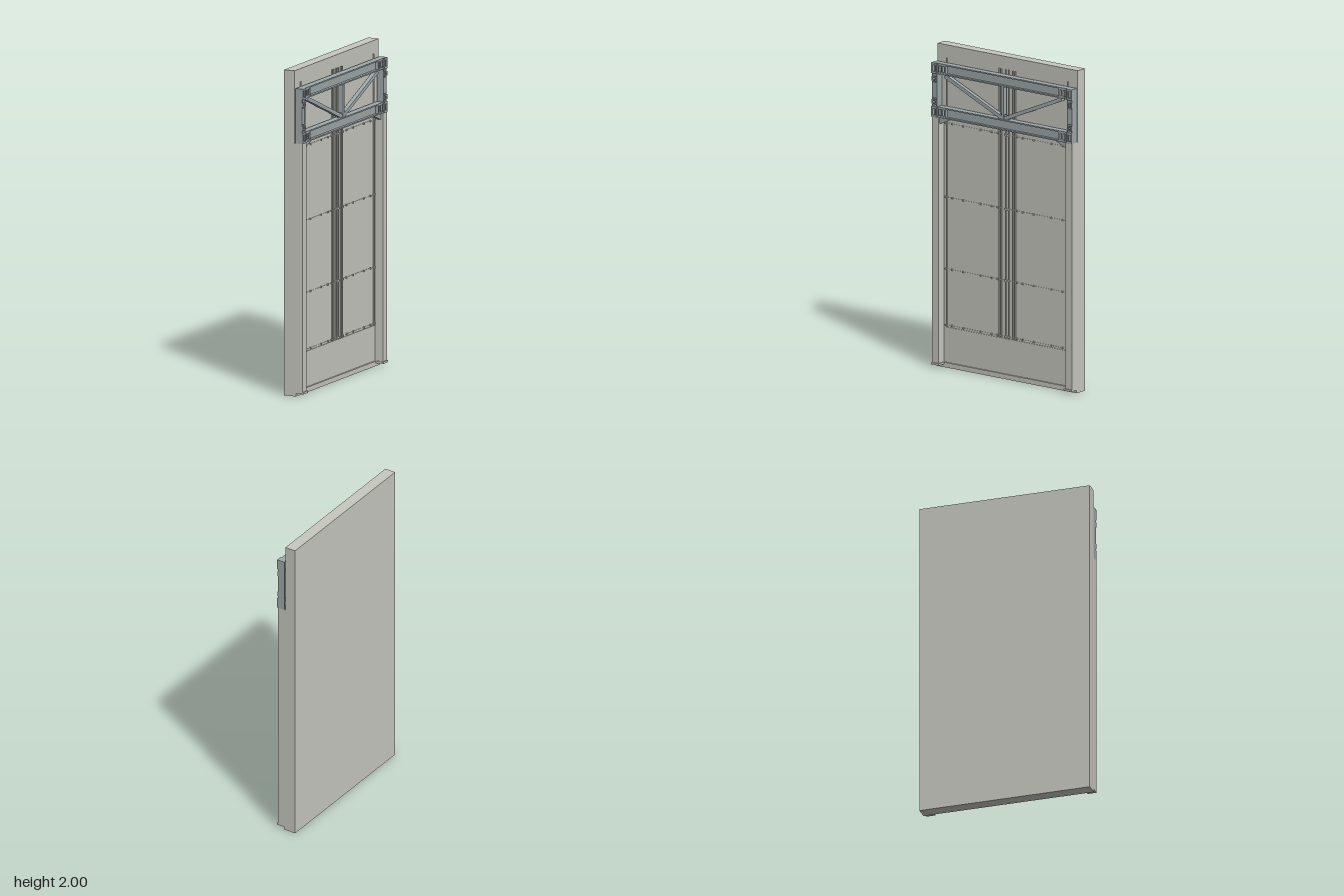
import * as THREE from 'three';

export function createModel() {
  const model = new THREE.Group();
  const concrete = new THREE.MeshStandardMaterial({ color: 0xc6c7be });
  const steel = new THREE.MeshStandardMaterial({ color: 0x9fa8aa });

  // Box given by its minimum and maximum on each axis
  function box(name, x0, x1, y0, y1, z0, z1, mat = concrete, parent = model) {
    const m = new THREE.Mesh(new THREE.BoxGeometry(x1 - x0, y1 - y0, z1 - z0), mat);
    m.position.set((x0 + x1) / 2, (y0 + y1) / 2, (z0 + z1) / 2);
    m.name = name;
    parent.add(m);
    return m;
  }
  // Box repeated on both ends of the wall
  function pair(name, x0, x1, y0, y1, z0, z1, mat) {
    box(name + 'Left', x0, x1, y0, y1, z0, z1, mat);
    box(name + 'Right', x0, x1, y0, y1, -z1, -z0, mat);
  }
  // Flat plate drawn in (z, y) and given thickness along x
  function plate(name, points, holes, x0, x1, mat) {
    const shape = new THREE.Shape(points.map(([z, y]) => new THREE.Vector2(-z, y)));
    for (const [z0, z1, y0, y1] of holes)
      shape.holes.push(new THREE.Path([[z0, y0], [z0, y1], [z1, y1], [z1, y0]].map(([z, y]) => new THREE.Vector2(-z, y))));
    const g = new THREE.ExtrudeGeometry(shape, { depth: x1 - x0, bevelEnabled: false });
    g.rotateY(Math.PI / 2);
    const m = new THREE.Mesh(g, mat);
    m.position.x = x0;
    m.name = name;
    model.add(m);
  }
  const rect = (z0, z1, y0, y1) => [[z0, y0], [z1, y0], [z1, y1], [z0, y1]];

  // Wall slab, side columns and sill
  box('wallSlab', -0.068, 0.002, 0, 2, -0.54, 0.54);
  pair('column', 0.002, 0.057, 0.03, 1.555, 0.49, 0.54);
  box('sill', 0.002, 0.012, 0, 0.03, -0.54, 0.54);
  pair('columnFoot', 0.002, 0.064, 0.018, 0.03, 0.482, 0.54);

  // Rails on the wall face
  for (const z of [-0.062, -0.045, -0.012, 0.012, 0.045, 0.062])
    box('centreRail', 0.002, 0.01, 0.25, 1.92, z - 0.003, z + 0.003);
  pair('sideRail', 0.002, 0.01, 0.25, 1.92, 0.464, 0.469);
  box('bottomRail', 0.002, 0.006, 0.244, 0.25, -0.465, 0.465);

  // Panel seams with their fixings
  for (const y of [0.262, 0.61, 1.055, 1.515]) {
    box('panelSeam', 0.002, 0.0045, y - 0.0015, y + 0.0015, -0.465, 0.465);
    for (const z of [0.075, 0.12, 0.205, 0.34, 0.425, 0.475])
      pair('seamFixing', 0.002, 0.011, y - 0.005, y + 0.005, z - 0.004, z + 0.004);
    box('centreFixing', 0.002, 0.012, y - 0.005, y + 0.005, -0.02, 0.02);
  }

  // Truss chords: web between two flanges
  for (const [name, y0, y1] of [['topChord', 1.825, 1.892], ['bottomChord', 1.555, 1.622]]) {
    const chord = new THREE.Group();
    chord.name = name;
    model.add(chord);
    box('lowerFlange', 0.01, 0.055, y0, y0 + 0.008, -0.535, 0.535, steel, chord);
    box('upperFlange', 0.01, 0.055, y1 - 0.008, y1, -0.535, 0.535, steel, chord);
    box('web', 0.028, 0.036, y0, y1, -0.535, 0.535, steel, chord);

    // Stiffeners and slotted plates at the chord ends
    for (const s of [-1, 1]) {
      for (const z of [0.438, 0.462, 0.49])
        box('stiffener', 0.01, 0.055, y0, y1, s * z - 0.003, s * z + 0.003, steel, chord);
      plate('endPlate', rect(s * 0.503, s * 0.54, y0, y1), [[s * 0.511, s * 0.532, y0 + 0.014, y1 - 0.014]], 0.055, 0.062, steel);
      plate('slottedPlate', rect(s * 0.438, s * 0.493, y0 + 0.008, y1 - 0.008),
        [[s * 0.445, s * 0.459, y0 + 0.015, y1 - 0.015], [s * 0.467, s * 0.487, y0 + 0.015, y1 - 0.015]], 0.047, 0.053, steel);
    }
  }

  // End posts of the truss, with connection lugs
  pair('endCover', 0.008, 0.055, 1.555, 1.892, 0.534, 0.54, steel);
  pair('endPostWeb', 0.026, 0.034, 1.62, 1.828, 0.503, 0.535, steel);
  pair('endPostFlange', 0.01, 0.055, 1.62, 1.828, 0.5, 0.507, steel);
  for (const s of [-1, 1]) {
    plate('postPlate', rect(s * 0.505, s * 0.537, 1.672, 1.77), [], 0.046, 0.053, steel);
    for (const y of [1.65, 1.793])
      plate('connectionLug', rect(s * 0.505, s * 0.54, y - 0.014, y + 0.014),
        [[s * 0.513, s * 0.53, y - 0.007, y + 0.007]], 0.054, 0.061, steel);
  }

  // Diagonals and middle post
  for (const s of [-1, 1]) {
    const dz = 0.44, dy = -0.19, len = Math.hypot(dz, dy);
    const d = new THREE.Mesh(new THREE.BoxGeometry(0.026, 0.023, len), steel);
    d.name = 'diagonal';
    d.position.set(0.033, 1.722, s * 0.23);
    d.rotation.x = -s * Math.atan2(-dy, dz);
    model.add(d);
  }
  box('middlePostWeb', 0.016, 0.05, 1.62, 1.828, -0.003, 0.003, steel);
  box('middlePostFlange', 0.044, 0.05, 1.62, 1.828, -0.008, 0.008, steel);
  box('gusset', 0.03, 0.036, 1.615, 1.65, -0.04, 0.04, steel);

  // Triangular brackets under the bottom chord
  for (const s of [-1, 1])
    plate('bracket', [[s * 0.49, 1.555], [s * 0.395, 1.555], [s * 0.47, 1.523], [s * 0.49, 1.515]],
      [], 0.02, 0.045, steel);

  return model;
}
